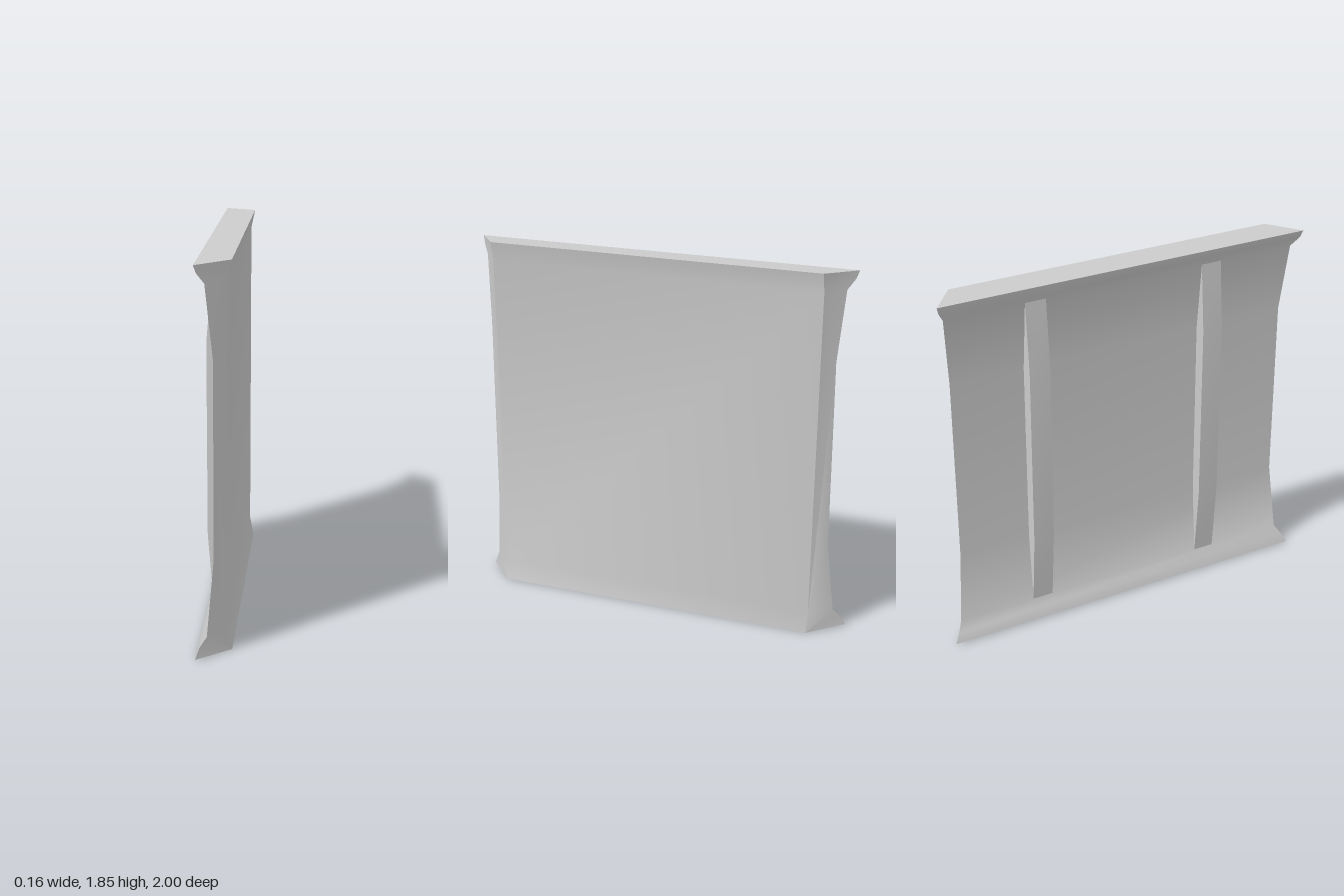
import * as THREE from 'three';
import { toCreasedNormals } from 'three/addons/utils/BufferGeometryUtils.js';

// Prism from a counter-clockwise outline; each point is [x, y, zFront, zBack]
function prism(points) {
  const n = points.length;
  const positions = [];
  for (const [x, y, front] of points) positions.push(x, y, front);
  for (const [x, y, , back] of points) positions.push(x, y, back);

  const index = [];
  const outline = points.map(([x, y]) => new THREE.Vector2(x, y));
  for (const [a, b, c] of THREE.ShapeUtils.triangulateShape(outline, [])) {
    index.push(a, b, c, n + a, n + c, n + b);
  }
  for (let i = 0; i < n; i++) {
    const j = (i + 1) % n;
    index.push(i, n + i, n + j, i, n + j, j);
  }
  const geometry = new THREE.BufferGeometry();
  geometry.setAttribute('position', new THREE.Float32BufferAttribute(positions, 3));
  geometry.setIndex(index);
  return toCreasedNormals(geometry, 0.75);
}

export function createModel() {
  const group = new THREE.Group();
  const material = new THREE.MeshStandardMaterial({ color: 0xcccccc });
  const add = (name, geometry) => {
    const mesh = new THREE.Mesh(geometry, material);
    mesh.name = name;
    group.add(mesh);
  };

  // Wall panel with flared rims and mitred ends: x, y, half length
  const profile = [
    [0.08, 0, 0.842], [0.06, 0.1, 0.845], [0.06, 1.75, 0.872], [0.08, 1.845, 0.872],
    [-0.08, 1.838, 1], [-0.068, 1.8, 0.988], [-0.035, 1.75, 0.955],
    [0, 1.4, 0.925], [0, 0.46, 0.918],
    [-0.03, 0.1, 0.947], [-0.063, 0.055, 0.975], [-0.08, 0.007, 1],
  ];
  add('wallPanel', prism(profile.map(([x, y, z]) => [x, y, z, -z])));

  // Two upright ribs bridging the hollow on the inner side
  const ribProfile = [
    [0.02, 0.1], [0.02, 1.75], [-0.035, 1.75],
    [-0.064, 1.4], [-0.06, 0.46], [-0.03, 0.1],
  ];
  for (const side of [-1, 1]) {
    const z = side * 0.485;
    add(side > 0 ? 'frontRib' : 'backRib',
      prism(ribProfile.map(([x, y]) => [x, y, z + 0.055, z - 0.055])));
  }
  return group;
}
